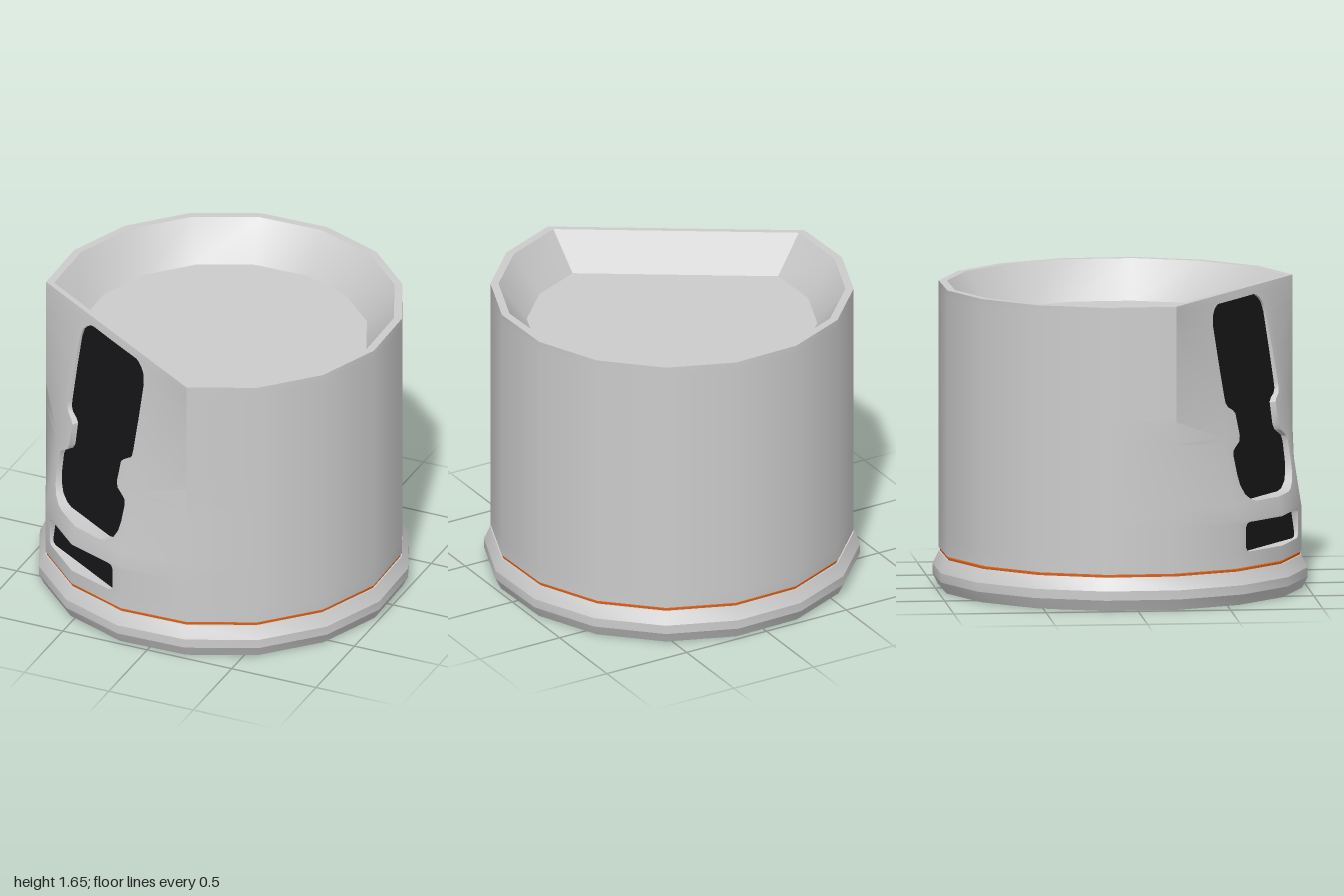
import * as THREE from 'three';
import { toCreasedNormals } from 'three/addons/utils/BufferGeometryUtils.js';

const R = 0.98, SIDES = 16, STEP = Math.PI * 2 / SIDES;
const TOP = 1.65, BOTTOM = 0.2;
const FLAT = R * Math.SQRT1_2;            // distance of the flat chord, also its half width
const KNEE_U = R * Math.sin(STEP), KNEE_D = R * Math.cos(STEP);
const TURN = -32.5 * Math.PI / 180;       // the flat face looks along local +z

const V = (x, y, z) => new THREE.Vector3(x, y, z);
const ring = (k, y, s = 1) => V(s * R * Math.sin(k * STEP), y, s * R * Math.cos(k * STEP));

// Collects quads and turns them into one creased geometry
function surface(crease) {
  const p = [];
  const tri = (a, b, c) => {
    if (!a.equals(b) && !b.equals(c) && !c.equals(a)) for (const v of [a, b, c]) p.push(v.x, v.y, v.z);
  };
  return {
    quad(a, b, c, d, flip = false) {
      if (flip) [b, d] = [d, b];
      tri(a, b, c);
      tri(a, c, d);
    },
    build() {
      const g = new THREE.BufferGeometry();
      g.setAttribute('position', new THREE.Float32BufferAttribute(p, 3));
      return toCreasedNormals(g, crease);
    },
  };
}

// Front face: flat at the rim, blending to the round wall lower down
function faceDepth(u, y) {
  const a = Math.abs(u);
  const round = a < KNEE_U
    ? THREE.MathUtils.mapLinear(a, 0, KNEE_U, R, KNEE_D)
    : THREE.MathUtils.mapLinear(a, KNEE_U, FLAT, KNEE_D, FLAT);
  const t = Math.min(1, (TOP - y) / 1.2);
  return FLAT + t * (round - FLAT);
}
const panelDepth = y => 0.69 + 0.159 * (1.6 - y);

// Rows of the wall: height and half width of the opening there
const ROWS = [
  [BOTTOM, 0], [0.28, 0], [0.28, 0.28], [0.287, 0.3], [0.305, 0.31], [0.415, 0.31], [0.433, 0.3], [0.44, 0.28], [0.44, 0],
  [0.45, 0], [0.545, 0], [0.545, 0.19], [0.557, 0.235], [0.59, 0.28], [0.64, 0.308], [0.7, 0.32], [0.8, 0.325],
  [0.83, 0.315], [0.85, 0.285], [0.87, 0.25], [0.9, 0.236], [1.02, 0.24], [1.04, 0.26], [1.06, 0.3], [1.085, 0.318],
  [1.12, 0.32], [1.3, 0.32], [1.5, 0.315], [1.55, 0.3], [1.58, 0.27], [1.6, 0.235], [1.605, 0.21], [1.605, 0], [TOP, 0],
];

function wallGeometry() {
  const s = surface(0.6);
  for (let i = 0; i + 1 < ROWS.length; i++) {
    const [y0, w0] = ROWS[i], [y1, w1] = ROWS[i + 1];
    // round part
    if (y1 > y0) for (let k = 2; k < SIDES - 2; k++) s.quad(ring(k, y0), ring(k + 1, y0), ring(k + 1, y1), ring(k, y1));
    // front face and the edges of the openings, mirrored
    for (const m of [1, -1]) {
      const skin = (u, y) => V(m * u, y, faceDepth(u, y));
      const back = (u, y) => V(m * u, y, panelDepth(y));
      if (y1 > y0) {
        const c0 = [w0, KNEE_U, FLAT], c1 = [w1, KNEE_U, FLAT];
        for (let j = 0; j < 2; j++) {
          s.quad(skin(c0[j], y0), skin(c0[j + 1], y0), skin(c1[j + 1], y1), skin(c1[j], y1), m < 0);
        }
      }
      if (w0 || w1) s.quad(back(w0, y0), skin(w0, y0), skin(w1, y1), back(w1, y1), m < 0);
    }
  }
  return s.build();
}

// Rim, sloping inside and floor of the dish
function dishGeometry() {
  const s = surface(0.6);
  const loops = [[1, TOP], [0.955, TOP], [0.8, 1.44], [0, 1.44]].map(([scale, y]) => {
    const pts = [];
    for (let k = 2; k <= SIDES - 2; k++) pts.push(ring(k, y, scale));
    return pts;
  });
  for (let l = 0; l < 3; l++) {
    const a = loops[l], b = loops[l + 1], n = a.length;
    for (let k = 0; k < n; k++) s.quad(a[k], a[(k + 1) % n], b[(k + 1) % n], b[k]);
  }
  return s.build();
}

function turned(points) {
  const g = new THREE.LatheGeometry(points.map(([x, y]) => new THREE.Vector2(x, y)), SIDES);
  return toCreasedNormals(g, 0.42);
}

export function createModel() {
  const model = new THREE.Group();
  model.name = 'container';
  const grey = new THREE.MeshStandardMaterial({ color: 0xcccccc });
  const black = new THREE.MeshStandardMaterial({ color: 0x151517 });
  const orange = new THREE.MeshStandardMaterial({ color: 0xd9601a });
  const add = (name, geometry, material) => {
    const mesh = new THREE.Mesh(geometry, material);
    mesh.name = name;
    model.add(mesh);
  };

  add('wall', wallGeometry(), grey);
  add('dish', dishGeometry(), grey);

  // Base with bevelled edge and a shallow recess underneath
  add('base', turned([
    [0, 0.02], [0.83, 0.02], [0.83, 0], [0.985, 0], [1.015, 0.06], [1.015, 0.11],
    [0.98, 0.18], [0.95, 0.18], [0.95, 0.205], [0, 0.205],
  ]), grey);
  add('accentRing', turned([[0.95, 0.178], [0.972, 0.178], [0.972, 0.192], [0.95, 0.192]]), orange);

  // Dark sloping panel behind both openings
  const panel = surface(0.6);
  const corner = (u, y) => V(u, y, panelDepth(y));
  panel.quad(corner(-0.33, 0.275), corner(0.33, 0.275), corner(0.33, 1.608), corner(-0.33, 1.608));
  add('darkPanel', panel.build(), black);

  model.rotation.y = TURN;
  return model;
}
